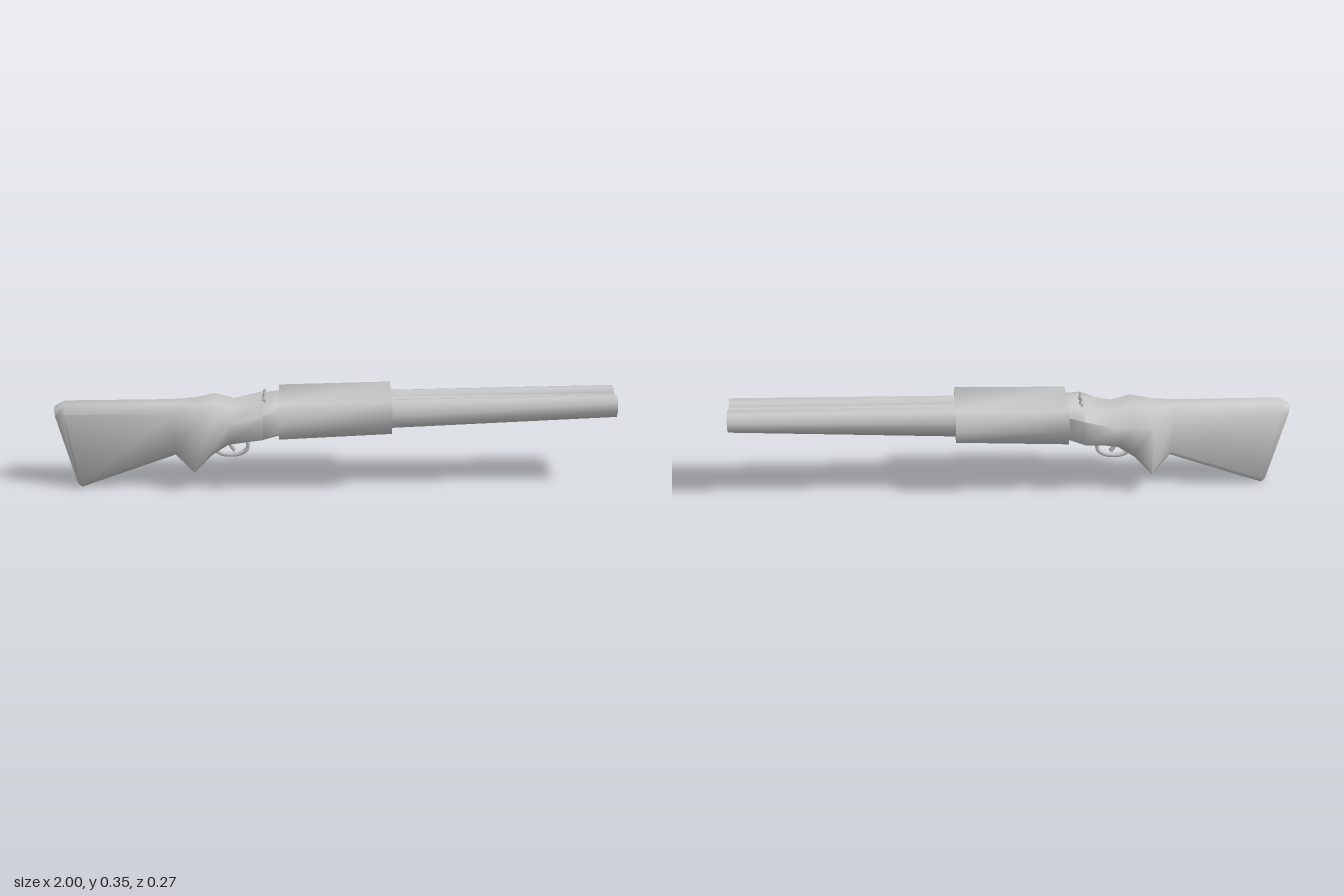
import * as THREE from 'three';
import { toCreasedNormals } from 'three/addons/utils/BufferGeometryUtils.js';

const material = new THREE.MeshStandardMaterial({ color: 0xcccccc });

// Skin a list of rings (equal point counts) and close both ends
function loft(rings, crease) {
  const pos = [];
  const tri = (a, b, c) => pos.push(...a, ...b, ...c);
  const n = rings[0].length;
  for (let s = 0; s < rings.length - 1; s++) {
    for (let i = 0; i < n; i++) {
      const j = (i + 1) % n, p = rings[s], q = rings[s + 1];
      tri(p[i], p[j], q[i]);
      tri(p[j], q[j], q[i]);
    }
  }
  const middle = (r) => [0, 1, 2].map((k) => r.reduce((t, p) => t + p[k], 0) / n);
  const first = rings[0], last = rings[rings.length - 1];
  for (let i = 0; i < n; i++) {
    const j = (i + 1) % n;
    tri(middle(first), first[j], first[i]);
    tri(middle(last), last[i], last[j]);
  }
  const geo = new THREE.BufferGeometry();
  geo.setAttribute('position', new THREE.Float32BufferAttribute(pos, 3));
  return toCreasedNormals(geo, crease);
}

// Mirror a half section of [y, z] pairs, listed top to bottom, into a ring
function mirrorRing(half, xAt) {
  const other = half.filter((p) => p[1] > 0).reverse().map(([y, z]) => [y, -z]);
  return [...half, ...other].map(([y, z]) => [xAt(y), y, z]);
}

export function createModel() {
  const group = new THREE.Group();
  const add = (name, geo, x = 0, y = 0, z = 0) => {
    const mesh = new THREE.Mesh(geo, material);
    mesh.name = name;
    mesh.position.set(x, y, z);
    group.add(mesh);
  };

  // Stock, grip and receiver: x top, y top, x bottom, y bottom, half width,
  // top flat, top bevel height, bottom flat, bottom bevel height
  const stations = [
    [-1.0, 0.29, -0.925, 0.006, 0.035, 0.018, 0.02, 0.03, 0.02],
    [-0.965, 0.31, -0.91, 0.0, 0.057, 0.02, 0.025, 0.04, 0.02],
    [-0.58, 0.312, -0.57, 0.125, 0.057, 0.022, 0.03, 0.045, 0.02],
    [-0.5, 0.312, -0.5, 0.078, 0.106, 0.04, 0.05, 0.105, 0.005],
    [-0.43, 0.325, -0.44, 0.135, 0.106, 0.045, 0.06, 0.08, 0.03],
    [-0.36, 0.304, -0.38, 0.168, 0.108, 0.05, 0.04, 0.06, 0.03],
    [-0.255, 0.322, -0.255, 0.19, 0.126, 0.06, 0.02, 0.07, 0.022],
    [-0.195, 0.33, -0.195, 0.2, 0.085, 0.06, 0.03, 0.05, 0.02],
  ];
  add('stockAndReceiver', loft(stations.map(([xt, yt, xb, yb, w, tf, tb, bf, bb]) =>
    mirrorRing([[yt, tf], [yt - tb, w], [yb + bb, w], [yb, bf]],
      (y) => xb + (xt - xb) * (y - yb) / (yt - yb))), 1.25));

  // Hollow forearm: outside, front rim, then inside back to the breech
  const rear = [[0.336, 0.1], [0.27, 0.134], [0.204, 0.1], [0.182, 0.05], [0.177, 0]];
  const front = [[0.345, 0.1], [0.278, 0.134], [0.222, 0.1], [0.21, 0.05], [0.207, 0]];
  const inner = [[0.341, 0.09], [0.278, 0.118], [0.234, 0.088], [0.222, 0.05], [0.219, 0]];
  const breech = [[0.33, 0.09], [0.27, 0.118], [0.214, 0.088], [0.196, 0.05], [0.191, 0]];
  add('forearm', loft([[rear, -0.2], [front, 0.2], [inner, 0.195], [breech, -0.18]]
    .map(([half, x]) => mirrorRing(half, () => x)), 1.2));

  // Twin octagonal barrels, deeper towards the breech, with tapering bores
  const barrelRing = (x, cy, ry, rz) => Array.from({ length: 8 }, (_, i) => {
    const a = (i + 0.25) / 8 * Math.PI * 2;
    return [x, cy + ry * Math.cos(a), rz * Math.sin(a)];
  });
  const barrel = loft([
    barrelRing(-0.17, 0.267, 0.061, 0.041),
    barrelRing(1, 0.304, 0.041, 0.041),
    barrelRing(1, 0.304, 0.036, 0.036),
    barrelRing(0.5, 0.304, 0.001, 0.001),
  ], 1.3);
  for (const side of [1, -1]) {
    add(side > 0 ? 'leftBarrel' : 'rightBarrel', barrel, 0, 0, side * 0.048);
  }

  // Web joining the barrels, arched underneath and deeper at the breech
  add('barrelWeb', loft([
    mirrorRing([[0.312, 0.035], [0.218, 0.045], [0.24, 0]], () => -0.17),
    mirrorRing([[0.326, 0.024], [0.276, 0.024], [0.281, 0]], () => 0.998),
  ], 1.2));

  // Opening lever with two small peaks
  add('leverBar', new THREE.BoxGeometry(0.007, 0.026, 0.09), -0.25, 0.321, 0);
  for (const side of [1, -1]) {
    add('leverPeak', new THREE.CylinderGeometry(0.004, 0.011, 0.034, 6), -0.25, 0.333, side * 0.02);
  }

  // Trigger guard and trigger
  const curve = (points, closed) => new THREE.CatmullRomCurve3(
    points.map(([x, y]) => new THREE.Vector3(x, y, 0)), closed);
  const guard = curve([
    [-0.435, 0.135], [-0.41, 0.11], [-0.345, 0.108], [-0.314, 0.13],
    [-0.318, 0.165], [-0.36, 0.18], [-0.41, 0.165],
  ], true);
  add('triggerGuard', new THREE.TubeGeometry(guard, 28, 0.008, 6, true));
  const trigger = curve([[-0.375, 0.178], [-0.378, 0.15], [-0.36, 0.122]], false);
  add('trigger', new THREE.TubeGeometry(trigger, 8, 0.008, 6));

  return group;
}
